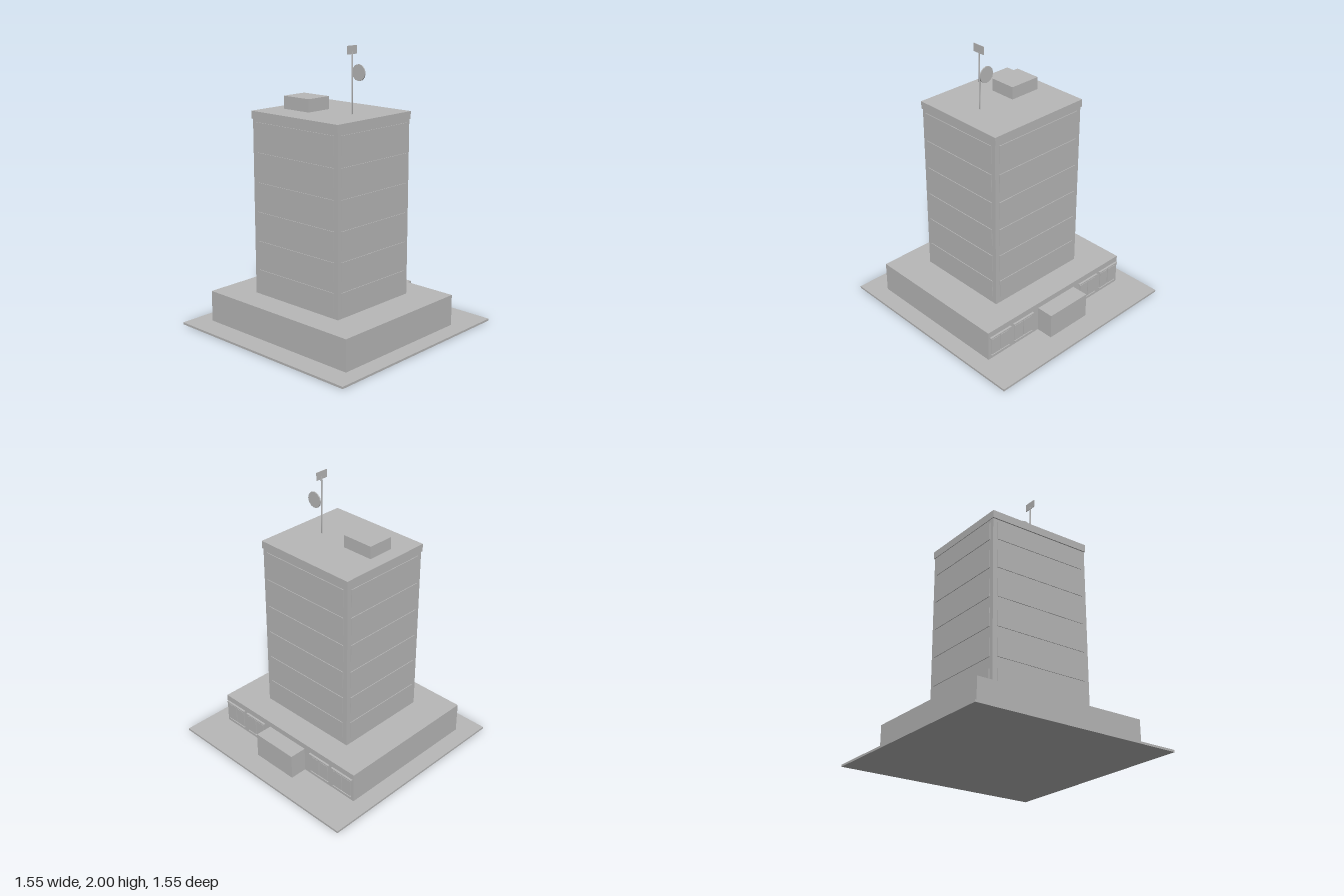
import * as THREE from 'three';

export function createModel() {
  const model = new THREE.Group();
  const concrete = new THREE.MeshStandardMaterial({ color: 0xb8b8b8 });
  concrete.name = 'grey concrete';

  // Box given by its extents along each axis
  function box(name, [x0, x1], [y0, y1], [z0, z1], parent = model) {
    const mesh = new THREE.Mesh(new THREE.BoxGeometry(x1 - x0, y1 - y0, z1 - z0), concrete);
    mesh.position.set((x0 + x1) / 2, (y0 + y1) / 2, (z0 + z1) / 2);
    mesh.name = name;
    parent.add(mesh);
    return mesh;
  }

  // Main masses
  box('groundSlab', [-0.776, 0.776], [0, 0.015], [-0.776, 0.776]);
  box('podium', [-0.65, 0.65], [0.015, 0.24], [-0.493, 0.61]);
  box('entrance', [-0.178, 0.178], [0.015, 0.2], [-0.619, -0.493]);
  box('tower', [-0.395, 0.395], [0.24, 1.49], [-0.298, 0.411]);
  box('roofSlab', [-0.4, 0.4], [1.49, 1.545], [-0.306, 0.42]);
  box('roofHousing', [-0.298, -0.06], [1.545, 1.635], [0.015, 0.212]);

  // Raised window bands on every storey, all four sides
  const bands = new THREE.Group();
  bands.name = 'windowBands';
  model.add(bands);
  for (let i = 0; i < 6; i++) {
    const y = [0.29 + i * 0.21, 0.42 + i * 0.21];
    box('frontWindowBand', [-0.36, 0.36], y, [0.411, 0.416], bands);
    box('backWindowBand', [-0.36, 0.36], y, [-0.303, -0.298], bands);
    box('leftWindowBand', [0.395, 0.4], y, [-0.265, 0.378], bands);
    box('rightWindowBand', [-0.4, -0.395], y, [-0.265, 0.378], bands);
  }

  // Shop windows along the back of the podium
  for (const x of [-0.543, -0.327, 0.327, 0.543]) {
    const shop = new THREE.Group();
    shop.name = 'shopWindow';
    model.add(shop);
    box('windowHead', [x - 0.095, x + 0.095], [0.187, 0.197], [-0.508, -0.493], shop);
    box('windowSill', [x - 0.085, x + 0.085], [0.038, 0.046], [-0.503, -0.493], shop);
    for (const s of [-1, 1]) {
      const c = x + s * 0.042;
      box('windowPane', [c - 0.038, c + 0.038], [0.05, 0.175], [-0.5, -0.493], shop);
    }
  }

  // Rooftop mast with sign board and dish
  const mast = new THREE.Mesh(new THREE.CylinderGeometry(0.005, 0.005, 0.415, 8), concrete);
  mast.name = 'mast';
  mast.position.set(0.195, 1.7525, 0.06);
  model.add(mast);
  box('mastBoard', [0.193, 0.197], [1.943, 2], [0.014, 0.11]);

  const dish = new THREE.Mesh(new THREE.CylinderGeometry(0.057, 0.057, 0.008, 12), concrete);
  dish.name = 'dish';
  dish.rotation.x = Math.PI / 2;
  dish.position.set(0.195, 1.815, -0.006);
  model.add(dish);

  return model;
}
